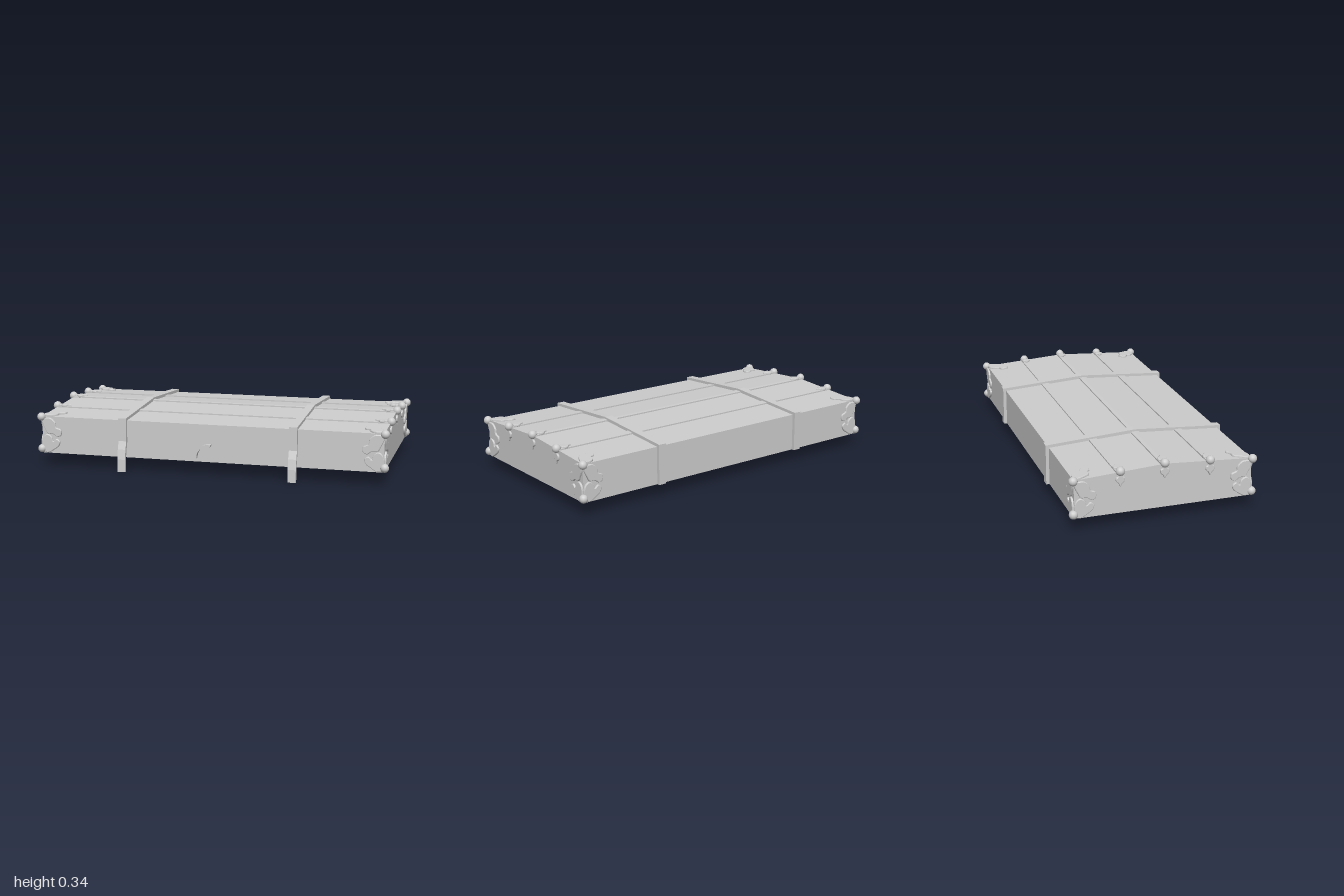
import * as THREE from 'three';

const grey = new THREE.MeshStandardMaterial({ color: 0xcccccc });
grey.name = 'plain grey';

const HX = 0.973, FRONT = 0.47, BACK = -0.5, MID = -0.015;
const BASE = 0.075, CEILING = 0.225, EAVE = 0.285, RIDGE = 0.315;
const SLOPE = (RIDGE - EAVE) / (FRONT - MID);
const roofY = z => RIDGE - SLOPE * Math.abs(z - MID);

const toShape = pts => new THREE.Shape(pts.map(p => new THREE.Vector2(p[0], p[1])));

// Extrude a (z, y) profile along x, centred on x = cx
function alongX(pts, width, cx = 0) {
  const g = new THREE.ExtrudeGeometry(toShape(pts), { depth: width, bevelEnabled: false });
  return g.translate(0, 0, -width / 2).rotateY(-Math.PI / 2).translate(cx, 0, 0);
}

// Relief plate lying on a face: u and v span the face, n points outwards
function relief(points, origin, u, v, n) {
  const U = new THREE.Vector3(...u).normalize(), V = new THREE.Vector3(...v).normalize();
  const N = new THREE.Vector3(...n).normalize();
  const flip = U.clone().cross(V).dot(N) < 0 ? -1 : 1;
  const curve = new THREE.SplineCurve([...points, points[0]].map(p => new THREE.Vector2(p[0] * flip, p[1])));
  const outline = new THREE.Shape(curve.getPoints(36).slice(0, -1));
  const g = new THREE.ExtrudeGeometry(outline, {
    depth: 0.004, bevelThickness: 0.006, bevelSize: 0.004, bevelOffset: -0.004, bevelSegments: 2
  });
  const m = new THREE.Matrix4().makeBasis(U.multiplyScalar(flip), V, N).setPosition(...origin);
  return g.applyMatrix4(m);
}

// Leaf outlines, measured from a corner or an edge
const CORNER_LEAF = [[0, 0.005], [0.05, 0.002], [0.08, 0.026], [0.086, 0.055], [0.114, 0.068],
  [0.114, 0.1], [0.09, 0.11], [0.068, 0.095], [0.035, 0.092], [0.02, 0.068], [0.004, 0.035]];
const CURLED_LEAF = [[0, -0.018], [0.035, -0.025], [0.07, -0.006], [0.098, 0.015], [0.106, 0.042],
  [0.085, 0.057], [0.066, 0.042], [0.058, 0.065], [0.036, 0.082], [0.014, 0.074], [0, 0.045]];
const SMALL_LEAF = [[0, -0.014], [0.025, -0.012], [0.036, -0.024], [0.056, -0.022], [0.066, -0.01],
  [0.084, 0], [0.066, 0.01], [0.056, 0.022], [0.036, 0.024], [0.025, 0.012], [0, 0.014]];

export function createModel() {
  const model = new THREE.Group();
  model.name = 'chestLid';
  const add = (geometry, name, parent = model) => {
    const mesh = new THREE.Mesh(geometry, grey);
    mesh.name = name;
    parent.add(mesh);
    return mesh;
  };

  // Hollow rim
  const frame = toShape([[-HX, -FRONT], [HX, -FRONT], [HX, -BACK], [-HX, -BACK]]);
  const ix = HX - 0.08, iz = 0.075;
  frame.holes.push(toShape([[-ix, -FRONT + iz], [-ix, -BACK - iz], [ix, -BACK - iz], [ix, -FRONT + iz]]));
  add(new THREE.ExtrudeGeometry(frame, { depth: CEILING - BASE, bevelEnabled: false })
    .rotateX(-Math.PI / 2).translate(0, BASE, 0), 'rim');

  // Shallow gabled top
  add(alongX([[FRONT, CEILING], [FRONT, EAVE], [MID, RIDGE], [BACK, EAVE], [BACK, CEILING]], 2 * HX), 'gabledTop');

  // Battens running lengthwise
  const battens = [0.235, MID, -0.255];
  for (const z of battens) {
    const a = z + 0.022, b = z - 0.022, h = 0.007;
    add(alongX([[a, roofY(a) - 0.004], [a, roofY(a) + h], [z, roofY(z) + h], [b, roofY(b) + h], [b, roofY(b) - 0.004]],
      2 * HX), 'batten');
  }

  // Straps over the top with a loose bent tongue at the front
  const strap = [
    [BACK, BASE], [BACK - 0.018, BASE], [BACK - 0.018, 0.3], [MID, 0.333], [0.489, 0.299],
    [0.489, 0.17], [0.505, 0.125], [0.516, 0.07], [0.518, 0],
    [0.501, 0], [0.499, 0.065], [0.488, 0.115], [0.471, 0.165],
    [0.471, EAVE], [MID, RIDGE], [BACK, EAVE]
  ];
  for (const x of [-0.487, 0.483]) add(alongX(strap, 0.045, x), 'strap');

  // Curved catch on the front
  const arc = new THREE.Shape();
  arc.absarc(0, 0, 0.075, Math.PI / 2 - 0.2, Math.PI + 0.1, false);
  arc.absarc(0, 0, 0.064, Math.PI + 0.1, Math.PI / 2 - 0.2, true);
  add(new THREE.ExtrudeGeometry(arc, { depth: 0.03, bevelEnabled: false, curveSegments: 10 })
    .translate(0.008, 0.102, FRONT - 0.002), 'frontCatch');

  const knob = (x, y, z, parent) =>
    add(new THREE.SphereGeometry(0.024, 14, 10).translate(x, y, z), 'knob', parent);

  for (const s of [-1, 1]) {
    // Knobs and leaves on the batten ends
    for (const z of battens) {
      const end = new THREE.Group();
      end.name = 'battenEnd';
      model.add(end);
      const y = roofY(z) + 0.006;
      knob(s * 0.976, y, z, end);
      add(relief(SMALL_LEAF, [s * HX, y, z], [0, -1, 0], [0, 0, 1], [s, 0, 0]), 'endLeaf', end);
      add(relief(SMALL_LEAF, [s * HX, y, z], [-s, 0, 0], [0, 0, 1], [0, 1, 0]), 'topLeaf', end);
    }
    // Corner mounts: two knobs, with leaves on the three faces
    for (const f of [1, -1]) {
      const corner = new THREE.Group();
      corner.name = 'cornerMount';
      model.add(corner);
      const z = f > 0 ? FRONT : BACK, x = s * HX;
      knob(s * 0.976, 0.283, z + f * 0.004, corner);
      knob(s * 0.976, 0.1, z + f * 0.004, corner);
      add(relief(CORNER_LEAF, [x, EAVE, z], [-s, 0, 0], [0, SLOPE, -f], [0, 1, f * SLOPE]), 'topLeaf', corner);
      add(relief(CORNER_LEAF, [x, 0.28, z], [0, 0, -f], [0, -1, 0], [s, 0, 0]), 'upperEndLeaf', corner);
      add(relief(CURLED_LEAF, [x, 0.102, z], [0, 0, -f], [0, 1, 0], [s, 0, 0]), 'lowerEndLeaf', corner);
      add(relief(CORNER_LEAF, [x, 0.28, z], [-s, 0, 0], [0, -1, 0], [0, 0, f]), 'upperFaceLeaf', corner);
      add(relief(CURLED_LEAF, [x, 0.102, z], [-s, 0, 0], [0, 1, 0], [0, 0, f]), 'lowerFaceLeaf', corner);
    }
  }
  return model;
}
